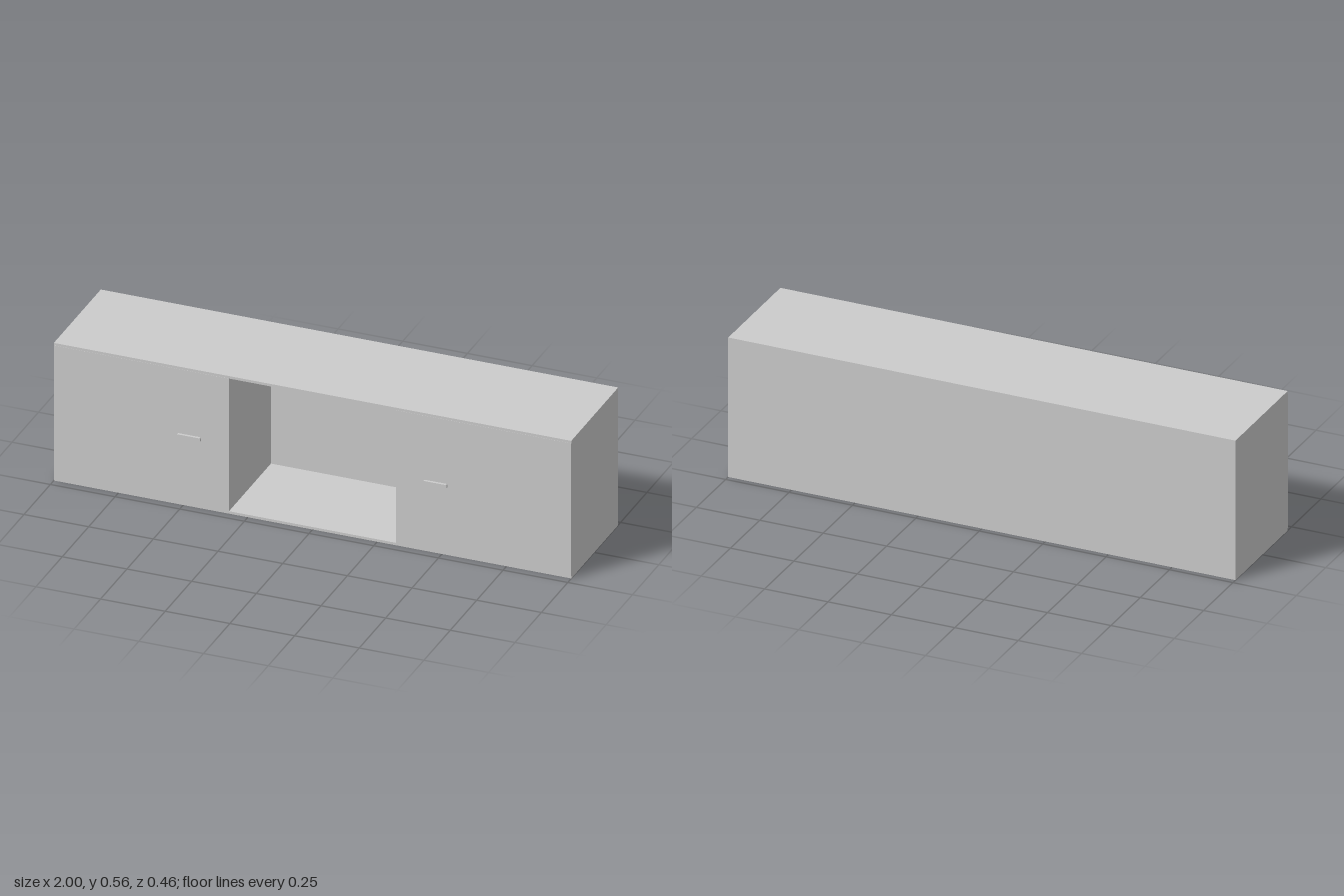
import * as THREE from 'three';

const material = new THREE.MeshStandardMaterial({ color: 0xcccccc });

// Box given by its lower and upper limits on each axis
function panel(name, x0, x1, y0, y1, z0, z1) {
  const mesh = new THREE.Mesh(new THREE.BoxGeometry(x1 - x0, y1 - y0, z1 - z0), material);
  mesh.position.set((x0 + x1) / 2, (y0 + y1) / 2, (z0 + z1) / 2);
  mesh.name = name;
  return mesh;
}

// Flat pull bar with softly rounded corners
function pullGeometry(w, h, depth, r) {
  const s = new THREE.Shape();
  const x = w / 2, y = h / 2;
  s.moveTo(-x + r, -y);
  s.lineTo(x - r, -y);
  s.absarc(x - r, -y + r, r, -Math.PI / 2, 0);
  s.absarc(x - r, y - r, r, 0, Math.PI / 2);
  s.absarc(-x + r, y - r, r, Math.PI / 2, Math.PI);
  s.absarc(-x + r, -y + r, r, Math.PI, Math.PI * 1.5);
  return new THREE.ExtrudeGeometry(s, { depth, bevelEnabled: false, curveSegments: 6 });
}

export function createModel() {
  const group = new THREE.Group();
  group.name = 'lowCabinet';

  const H = 0.556, T = 0.01;
  const back = -0.228, front = 0.217, nicheBack = -0.18, nicheX = 0.323;

  // Carcass
  group.add(panel('bottomPanel', -1, 1, 0, T, back, front));
  group.add(panel('topPanel', -1, 1, H - T, H, back, front));
  group.add(panel('backPanel', -1, 1, T, H - T, back, nicheBack));

  // Side compartments, mirrored around the open niche
  const pull = pullGeometry(0.092, 0.017, 0.011, 0.006);
  for (const [side, s] of [['left', 1], ['right', -1]]) {
    const span = (name, a, b, z0, z1) =>
      panel(side + name, Math.min(s * a, s * b), Math.max(s * a, s * b), T, H - T, z0, z1);
    group.add(span('SidePanel', 1 - T, 1, nicheBack, front));
    group.add(span('Divider', nicheX, nicheX + T, nicheBack, front - T));
    group.add(span('Door', nicheX, 1, front - T, front + 0.0008));

    const handle = new THREE.Mesh(pull, material);
    handle.name = side + 'Handle';
    handle.position.set(s * 0.476, 0.279, front);
    group.add(handle);
  }
  return group;
}
